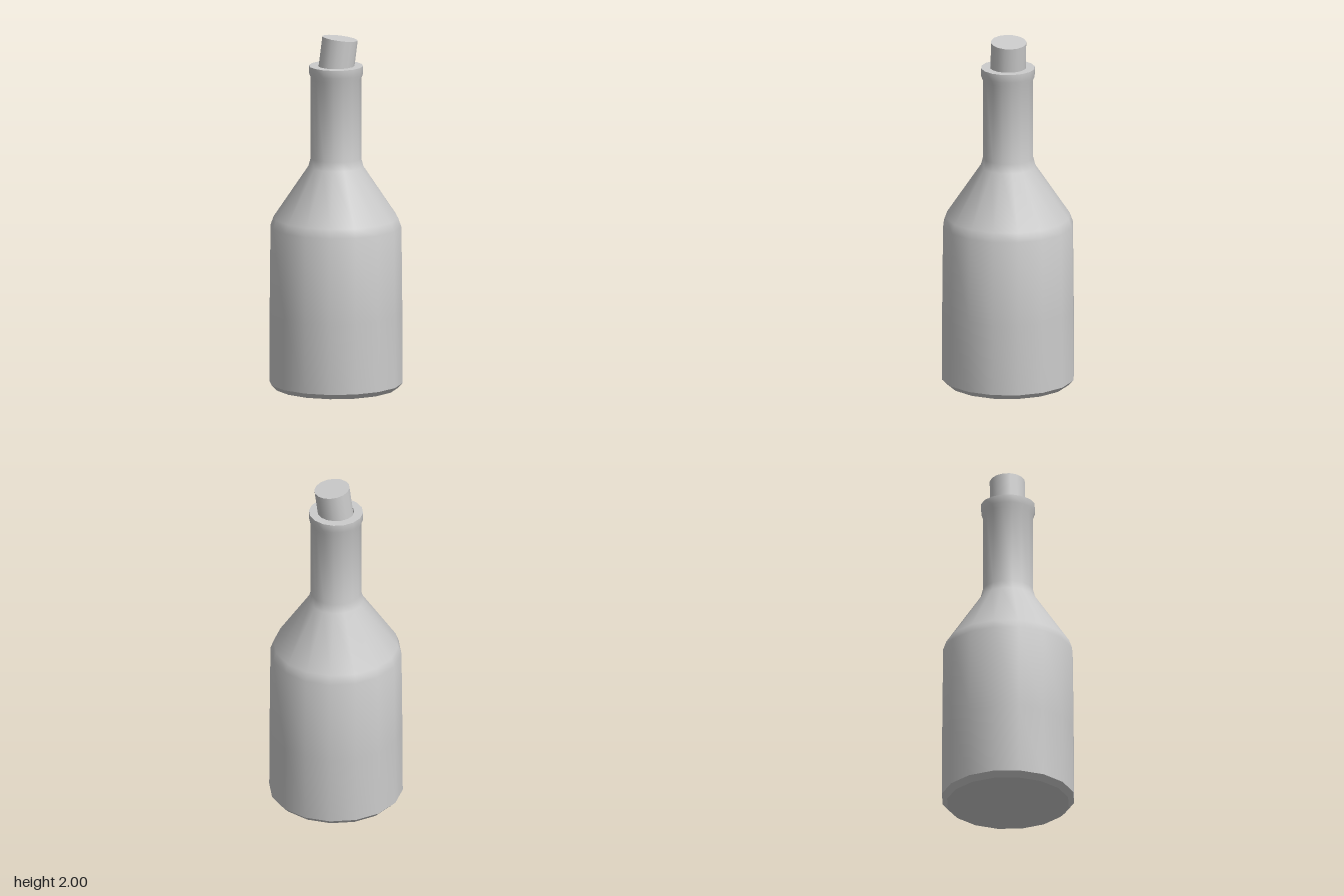
import * as THREE from 'three';
import { toCreasedNormals } from 'three/addons/utils/BufferGeometryUtils.js';

const SIDES = 16;
const CREASE = 0.65;

export function createModel() {
  const model = new THREE.Group();
  model.name = 'corkedBottle';
  const material = new THREE.MeshStandardMaterial({ color: 0xcccccc });

  // Bottle: chamfered foot, slightly tapered body, shoulder, neck and lip with a bore
  const profile = [
    [0, 0], [0.345, 0], [0.375, 0.03], [0.373, 0.43], [0.368, 0.92], [0.35, 0.97],
    [0.155, 1.26], [0.142, 1.31], [0.142, 1.765], [0.152, 1.79], [0.152, 1.835],
    [0.102, 1.835], [0.102, 1.72], [0, 1.72],
  ].map(([r, y]) => new THREE.Vector2(r, y));
  const bottle = new THREE.Mesh(
    toCreasedNormals(new THREE.LatheGeometry(profile, SIDES), CREASE), material);
  bottle.name = 'bottle';
  model.add(bottle);

  // Cork: pushed in at a slight tilt towards the back
  const length = 0.25;
  const corkGeometry = new THREE.CylinderGeometry(0.1, 0.1, length, SIDES);
  corkGeometry.translate(0, -length / 2, 0);
  const cork = new THREE.Mesh(corkGeometry, material);
  cork.name = 'cork';
  cork.position.set(0.009, 1.989, -0.022);
  cork.rotation.set(-0.12, 0, -0.05);
  model.add(cork);

  return model;
}
